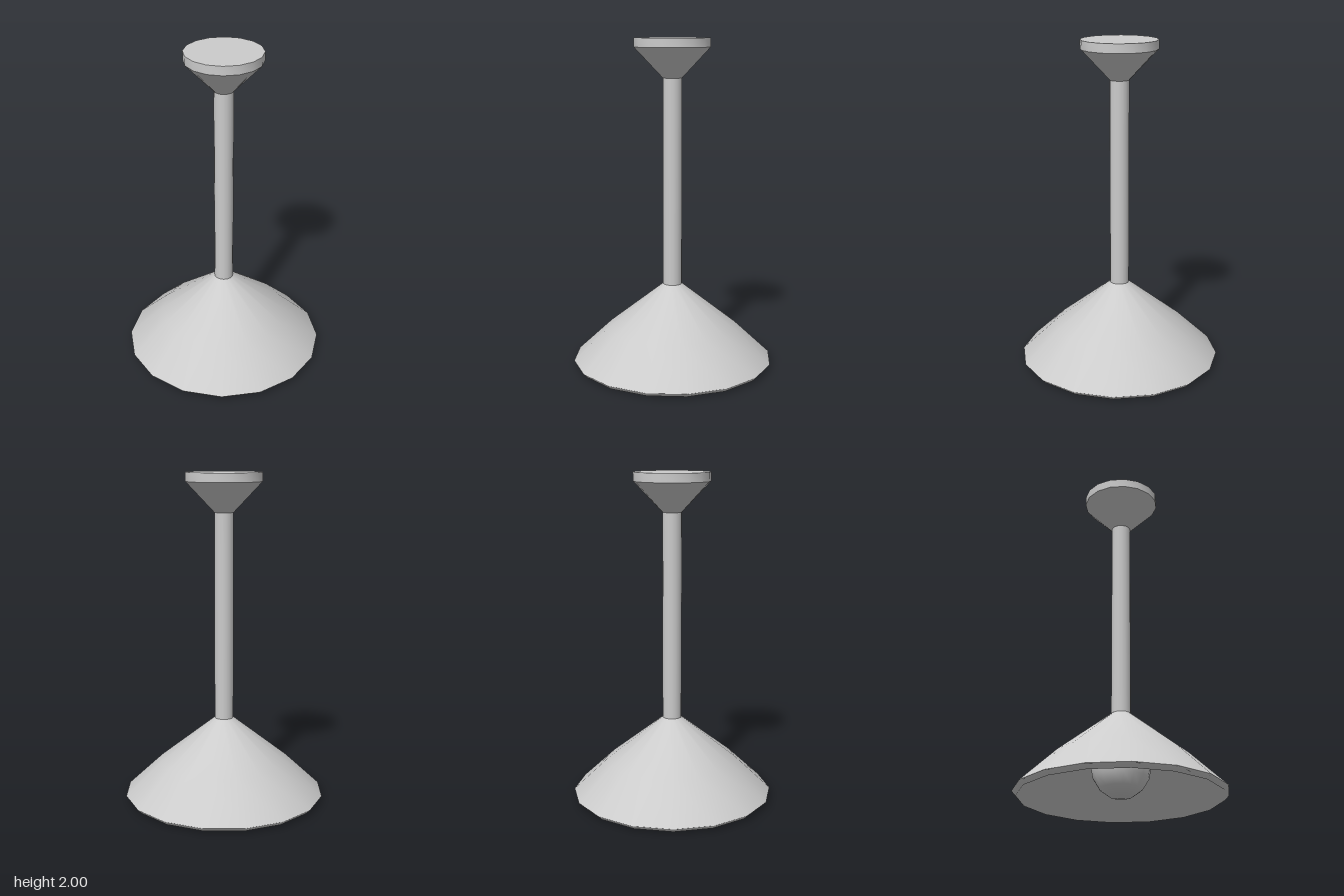
import * as THREE from 'three';
import { toCreasedNormals } from 'three/addons/utils/BufferGeometryUtils.js';

const SIDES = 16;
const STEM_RADIUS = 0.058;

export function createModel() {
  const lamp = new THREE.Group();
  lamp.name = 'pendantLamp';
  const grey = new THREE.MeshStandardMaterial({ color: 0xcccccc });

  const add = (name, geometry, y = 0) => {
    const mesh = new THREE.Mesh(geometry, grey);
    mesh.name = name;
    mesh.position.y = y;
    lamp.add(mesh);
  };

  // Revolves [radius, height] pairs with smooth normals
  const turned = (profile) => new THREE.LatheGeometry(
    profile.map(([r, y]) => new THREE.Vector2(r, y)), SIDES,
  );

  // Ceiling canopy: cone flaring up to a short disc, with sharp corners
  add('canopy', toCreasedNormals(
    turned([[0, 1.765], [STEM_RADIUS, 1.765], [0.23, 1.946], [0.23, 2], [0, 2]]), Math.PI / 6,
  ));

  // Stem from the canopy, through the shade, down to the bulb
  add('stem', new THREE.CylinderGeometry(STEM_RADIUS, STEM_RADIUS, 1.435, SIDES), 1.0475);

  // Shade: outer skin, then a lining that rolls in from the rim and thins towards the stem
  add('shade', turned([[0.615, 0.032], [0.397, 0.238], [STEM_RADIUS, 0.506]]));
  add('shadeLining', turned([[STEM_RADIUS, 0.488], [0.385, 0.222], [0.59, 0.006], [0.615, 0.032]]));

  // Bulb, slightly taller than wide
  add('bulb', new THREE.SphereGeometry(0.175, SIDES, 8).scale(1, 1.1, 1), 0.1925);

  return lamp;
}
